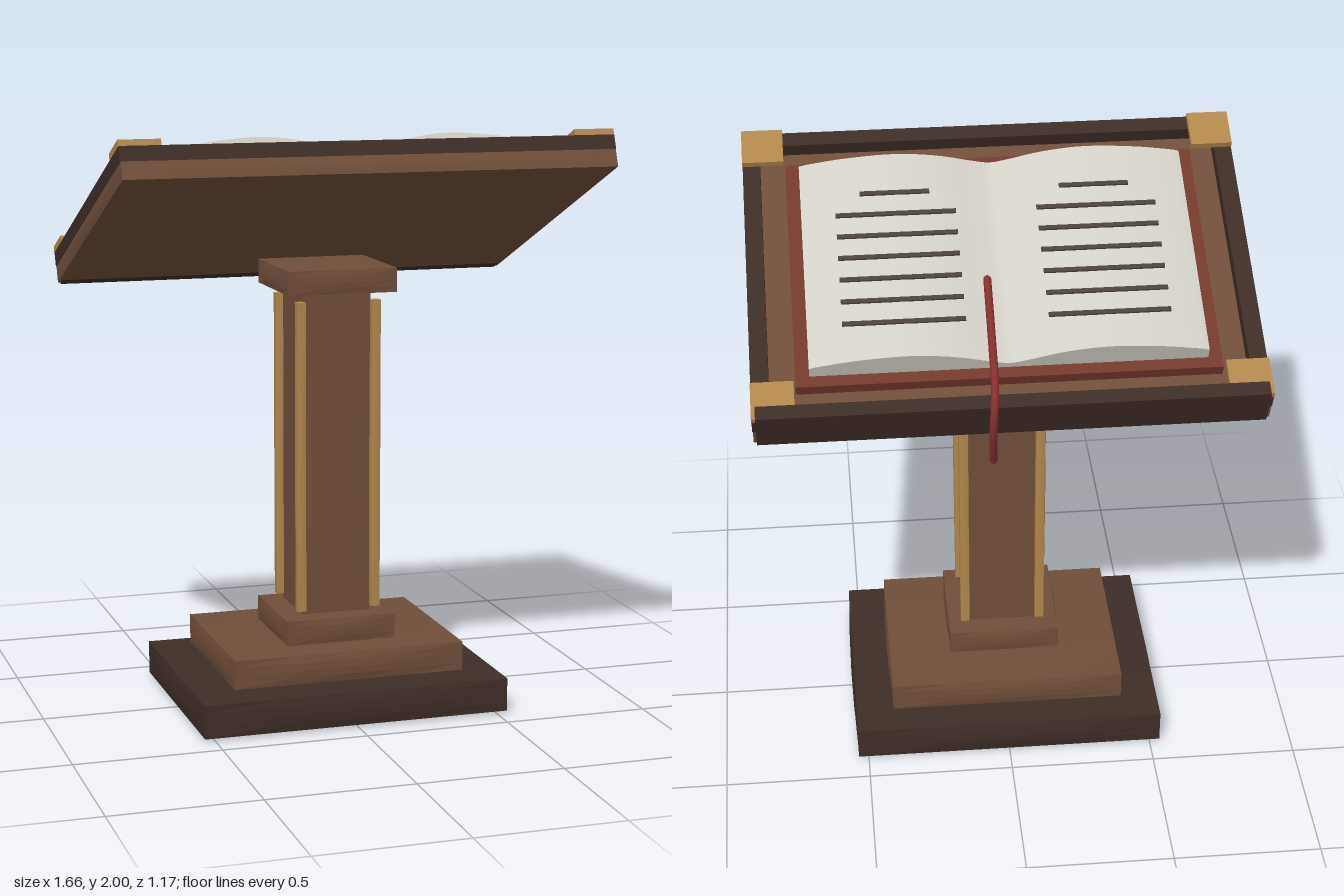
import * as THREE from 'three';
import { toCreasedNormals } from 'three/addons/utils/BufferGeometryUtils.js';

const mat = (color, flatShading = true) => new THREE.MeshStandardMaterial({ color, flatShading });
const wood = mat(0x6f4e39), dark = mat(0x3d2d27), gold = mat(0xb0864a);
const leather = mat(0x73392b), ink = mat(0x4d423b);
const paper = mat(0xd2d0c6, false), ribbonRed = mat(0x8a2f2f, false);

// Box whose faces swell slightly towards their middles
function block(parent, name, material, [w, h, d], [x, y, z], bulge = 0) {
  const n = bulge ? 4 : 1;
  const geo = new THREE.BoxGeometry(w, h, d, n, n, n);
  const p = geo.attributes.position, half = [w / 2, h / 2, d / 2];
  for (let i = 0; i < p.count; i++) {
    const v = [p.getX(i), p.getY(i), p.getZ(i)];
    const u = v.map((c, k) => c / half[k]);
    const out = v.map((c, k) => {
      const a = u[(k + 1) % 3], b = u[(k + 2) % 3];
      return c + u[k] * bulge * (1 - a * a) * (1 - b * b);
    });
    p.setXYZ(i, ...out);
  }
  geo.computeVertexNormals();
  const mesh = new THREE.Mesh(geo, material);
  mesh.name = name;
  mesh.position.set(x, y, z);
  parent.add(mesh);
  return mesh;
}

function createStand() {
  const g = new THREE.Group();
  g.name = 'stand';
  block(g, 'basePlinth', dark, [1.07, 0.115, 0.81], [0, 0.067, 0], 0.009);
  block(g, 'baseStep', wood, [0.81, 0.1, 0.62], [0, 0.19, 0], 0.009);
  block(g, 'columnFoot', wood, [0.385, 0.085, 0.37], [-0.004, 0.293, 0.037], 0.007);
  block(g, 'column', wood, [0.24, 1.13, 0.235], [-0.002, 0.89, 0.037], 0.004);
  block(g, 'columnCap', wood, [0.378, 0.082, 0.37], [0, 1.492, 0.037], 0.006);
  // Gilded strips on the four column corners
  for (const sx of [-1, 1]) for (const sz of [-1, 1])
    block(g, 'cornerStrip', gold, [0.03, 1.065, 0.03], [sx * 0.132, 0.888, 0.037 + sz * 0.128], 0.003);
  return g;
}

function createBook() {
  const g = new THREE.Group();
  g.name = 'openBook';
  block(g, 'cover', leather, [1.37, 0.04, 0.9], [0, 0.08, 0]);

  // Page block: two arched halves meeting in a valley at the spine
  const halfArch = [[0.06, 0.135], [0.18, 0.17], [0.32, 0.187], [0.48, 0.175], [0.6, 0.153], [0.64, 0.142]];
  const crest = [...halfArch].reverse().map(([x, y]) => new THREE.Vector2(-x, y));
  crest.push(new THREE.Vector2(0, 0.122), ...halfArch.map(([x, y]) => new THREE.Vector2(x, y)));
  const outline = new THREE.SplineCurve(crest).getPoints(60);
  const shape = new THREE.Shape([new THREE.Vector2(0.64, 0.095), ...outline.reverse(), new THREE.Vector2(-0.64, 0.095)]);
  const geo = new THREE.ExtrudeGeometry(shape, { depth: 0.82, bevelEnabled: false });
  geo.translate(0, 0, -0.41);
  const pages = new THREE.Mesh(toCreasedNormals(geo, 0.6), paper);
  pages.name = 'pages';
  g.add(pages);

  // Rows of ruled marks, the last one short
  for (const side of [-1, 1]) for (let i = 0; i < 7; i++)
    block(g, 'pageRule', ink, [i < 6 ? 0.395 : 0.23, 0.006, 0.016], [side * 0.33, 0.189, -0.276 + i * 0.087]);
  return g;
}

function createDesk() {
  const g = new THREE.Group();
  g.name = 'slantedDesk';
  block(g, 'deskBoard', wood, [1.65, 0.06, 1.167], [0, 0.03, 0], 0.003);
  // Raised rim
  for (const s of [-1, 1]) {
    block(g, 'sideRail', dark, [0.058, 0.05, 1.167], [s * 0.798, 0.085, 0]);
    block(g, 'endRail', dark, [1.55, 0.05, 0.055], [0, 0.085, s * 0.556]);
    // Gilded corner plates
    for (const t of [-1, 1])
      block(g, 'cornerPlate', gold, [0.138, 0.022, 0.138], [s * 0.759, 0.12, t * 0.513]);
  }
  // Lip along the low edge
  block(g, 'bookLip', dark, [1.63, 0.145, 0.05], [0, 0.07, -0.568]);
  g.add(createBook());
  g.rotation.x = -0.4;
  g.position.set(0, 1.658, 0.048);
  return g;
}

// Bookmark ribbon running down the page and hanging over the low edge
function createRibbon() {
  const path = new THREE.CatmullRomCurve3([
    [0.05, 1.765, -0.11], [0.053, 1.705, -0.26], [0.057, 1.66, -0.4], [0.06, 1.625, -0.5],
    [0.066, 1.565, -0.56], [0.07, 1.48, -0.564], [0.068, 1.4, -0.535], [0.064, 1.32, -0.495],
  ].map((p) => new THREE.Vector3(...p)));
  const g = new THREE.Group();
  g.name = 'bookmark';
  const tube = new THREE.Mesh(new THREE.TubeGeometry(path, 40, 0.013, 8), ribbonRed);
  tube.name = 'ribbon';
  g.add(tube);
  for (const t of [0, 1]) {
    const cap = new THREE.Mesh(new THREE.SphereGeometry(0.013, 8, 6), ribbonRed);
    cap.name = 'ribbonEnd';
    cap.position.copy(path.getPoint(t));
    g.add(cap);
  }
  return g;
}

export function createModel() {
  const model = new THREE.Group();
  model.name = 'lectern';
  model.add(createStand(), createDesk(), createRibbon());
  return model;
}
